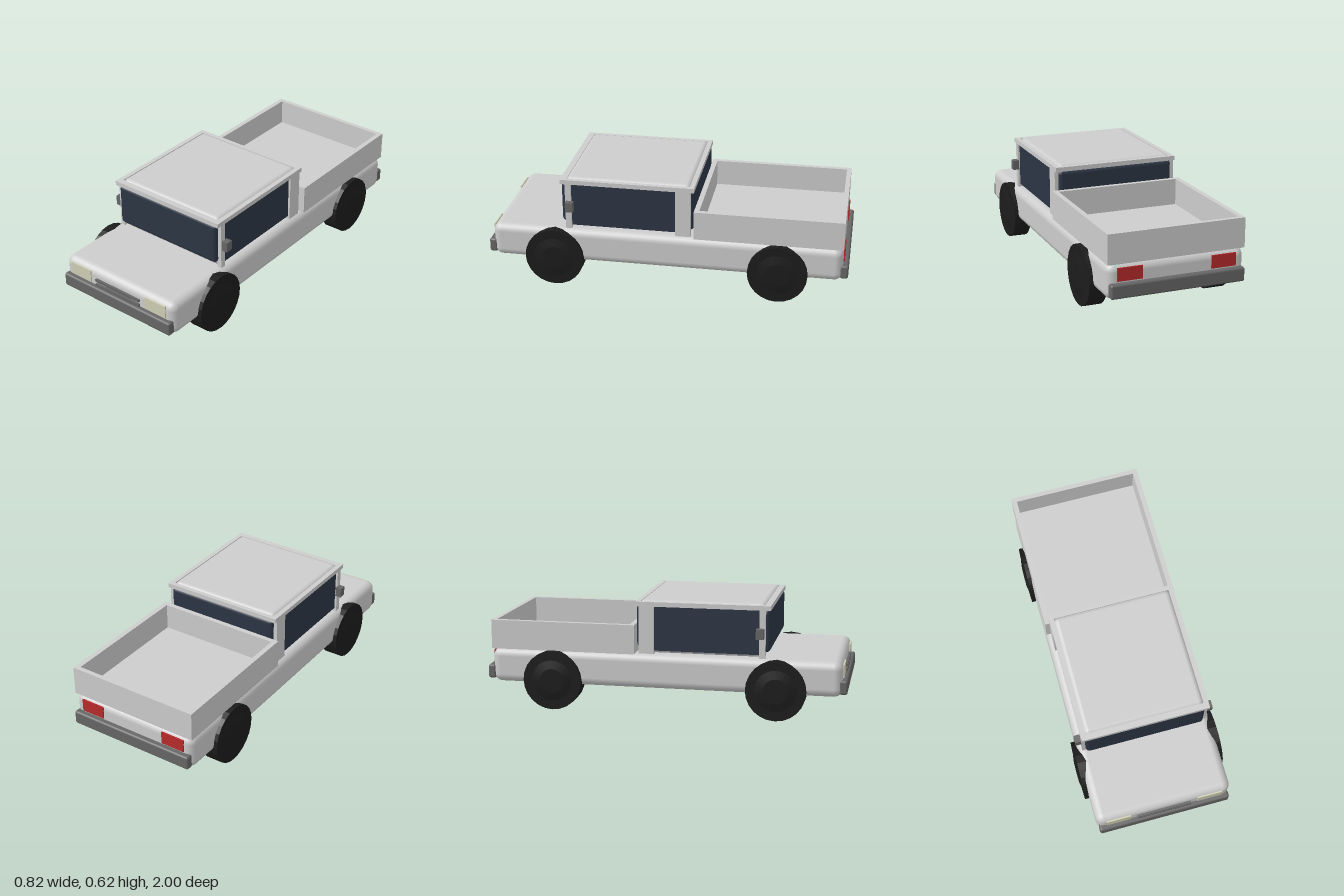
import * as THREE from 'three';
import { RoundedBoxGeometry } from 'three/addons/geometries/RoundedBoxGeometry.js';

const mat = (name, color) => {
  const m = new THREE.MeshStandardMaterial({ color });
  m.name = name;
  return m;
};

export function createModel() {
  const paint = mat('body paint', 0xcccccc);
  const trim = mat('grey trim', 0x666666);
  const glass = mat('dark glass', 0x2c3544);
  const rubber = mat('black rubber', 0x1c1c1c);
  const lamp = mat('headlight cream', 0xcfcfb4);
  const red = mat('taillight red', 0xb82a2a);

  const truck = new THREE.Group();
  truck.name = 'pickupTruck';

  // Box from its limits on each axis; a radius rounds its edges
  const box = (name, material, [x0, x1], [y0, y1], [z0, z1], radius = 0) => {
    const size = [x1 - x0, y1 - y0, z1 - z0];
    const geometry = radius
      ? new RoundedBoxGeometry(...size, 3, radius)
      : new THREE.BoxGeometry(...size);
    const mesh = new THREE.Mesh(geometry, material);
    mesh.name = name;
    mesh.position.set((x0 + x1) / 2, (y0 + y1) / 2, (z0 + z1) / 2);
    truck.add(mesh);
    return mesh;
  };
  // The same box on both sides of the truck
  const pair = (name, material, [x0, x1], y, z, radius = 0) => {
    box(name + 'Left', material, [x0, x1], y, z, radius);
    box(name + 'Right', material, [-x1, -x0], y, z, radius);
  };

  // Lower body
  box('body', paint, [-0.38, 0.38], [0.137, 0.33], [-0.97, 0.973], 0.045);

  // Cab shell with pillars and roof rails
  box('cab', paint, [-0.333, 0.333], [0.33, 0.624], [-0.137, 0.557], 0.03);
  pair('frontPillar', paint, [0.328, 0.355], [0.33, 0.6], [0.524, 0.557]);
  pair('rearPillar', paint, [0.328, 0.355], [0.33, 0.6], [-0.137, -0.053]);
  pair('roofRail', paint, [0.328, 0.355], [0.592, 0.617], [-0.156, 0.584]);
  box('frontRoofRail', paint, [-0.328, 0.328], [0.592, 0.617], [0.55, 0.584]);
  box('rearRoofRail', paint, [-0.328, 0.328], [0.592, 0.617], [-0.156, -0.13]);

  // Windows
  box('windshield', glass, [-0.335, 0.335], [0.36, 0.594], [0.525, 0.582], 0.022);
  box('rearWindow', glass, [-0.335, 0.335], [0.36, 0.594], [-0.154, -0.1], 0.022);
  pair('sideWindow', glass, [0.325, 0.343], [0.347, 0.596], [-0.06, 0.53]);

  // Mirrors
  pair('mirror', trim, [0.353, 0.388], [0.44, 0.495], [0.509, 0.551]);

  // Open cargo bed
  box('bedFloor', paint, [-0.365, 0.365], [0.325, 0.342], [-0.96, -0.165]);
  pair('bedSide', paint, [0.35, 0.378], [0.33, 0.49], [-0.97, -0.158]);
  box('bedFrontWall', paint, [-0.35, 0.35], [0.33, 0.49], [-0.186, -0.158]);
  box('tailgate', paint, [-0.35, 0.35], [0.33, 0.49], [-0.97, -0.944]);

  // Bumpers, lights and grille
  box('frontBumper', trim, [-0.37, 0.37], [0.155, 0.232], [0.956, 1], 0.012);
  box('rearBumper', trim, [-0.37, 0.37], [0.155, 0.232], [-1, -0.956], 0.012);
  pair('headlight', lamp, [0.19, 0.327], [0.24, 0.31], [0.971, 0.979]);
  pair('taillight', red, [0.19, 0.327], [0.24, 0.31], [-0.976, -0.968]);
  for (const y of [0.235, 0.263]) {
    box('grilleBar', trim, [-0.152, 0.152], [y, y + 0.014], [0.968, 0.986]);
  }

  // Wheels: flat tread and sidewall with a shallow raised hub
  const half = [[0, 0.0575], [0.068, 0.0575], [0.115, 0.0485], [0.164, 0.0485]];
  const profile = [
    ...half.map(([r, x]) => new THREE.Vector2(r, -x)),
    ...half.reverse().map(([r, x]) => new THREE.Vector2(r, x)),
  ];
  const wheelGeometry = new THREE.LatheGeometry(profile, 24).toNonIndexed();
  wheelGeometry.computeVertexNormals();
  wheelGeometry.rotateZ(Math.PI / 2);
  for (const z of [0.62, -0.62]) {
    for (const side of [1, -1]) {
      const wheel = new THREE.Mesh(wheelGeometry, rubber);
      wheel.name = (z > 0 ? 'front' : 'rear') + 'Wheel' + (side > 0 ? 'Left' : 'Right');
      wheel.position.set(side * 0.3525, 0.164, z);
      truck.add(wheel);
    }
  }

  return truck;
}
